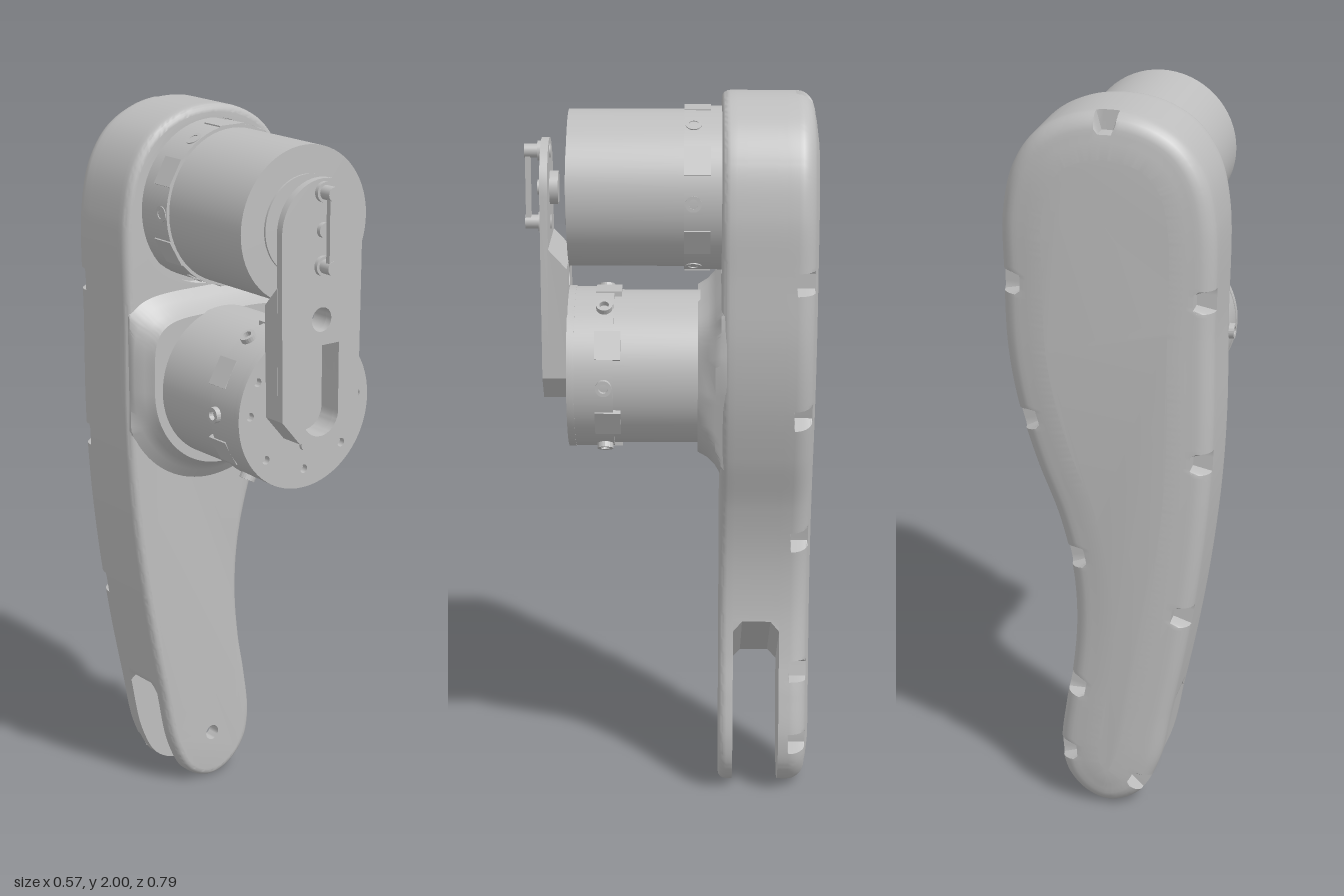
import * as THREE from 'three';
import { toCreasedNormals } from 'three/addons/utils/BufferGeometryUtils.js';

const V2 = (x, y) => new THREE.Vector2(x, y);
const circle = (x, y, r, n = 32, dir = 1) => Array.from({ length: n }, (_, i) => {
  const a = dir * i / n * Math.PI * 2;
  return V2(x + r * Math.cos(a), y + r * Math.sin(a));
});

// Skin between rings [{ z, pts }] running from back to front, capped at both ends, with round holes
function loft(rings, holes = []) {
  const pos = [];
  const put = (p, z) => pos.push(p.x, p.y, z);
  const skin = (list) => {
    for (let k = 0; k + 1 < list.length; k++) {
      const A = list[k], B = list[k + 1], n = A.pts.length;
      for (let i = 0; i < n; i++) {
        const j = (i + 1) % n;
        put(A.pts[i], A.z); put(A.pts[j], A.z); put(B.pts[j], B.z);
        put(A.pts[i], A.z); put(B.pts[j], B.z); put(B.pts[i], B.z);
      }
    }
  };
  const first = rings[0], last = rings[rings.length - 1];
  skin(rings);
  holes.forEach((h) => skin([{ z: first.z, pts: h }, { z: last.z, pts: h }]));
  [first, last].forEach((ring, end) => {
    const all = [ring.pts, ...holes].flat();
    for (const f of THREE.ShapeUtils.triangulateShape(ring.pts, holes)) {
      for (const i of end ? f : [f[0], f[2], f[1]]) put(all[i], ring.z);
    }
  });
  const g = new THREE.BufferGeometry();
  g.setAttribute('position', new THREE.Float32BufferAttribute(pos, 3));
  return toCreasedNormals(g, 0.6);
}

export function createModel() {
  const model = new THREE.Group();
  const gray = new THREE.MeshStandardMaterial({ color: 0xbebebe });
  gray.name = 'lightGray';
  const add = (name, geo, parent = model) => {
    const m = new THREE.Mesh(geo, gray);
    m.name = name;
    parent.add(m);
    return m;
  };
  const cyl = (name, r, z0, z1, x, y, n = 64) =>
    add(name, new THREE.CylinderGeometry(r, r, z1 - z0, n).rotateX(Math.PI / 2).translate(x, y, (z0 + z1) / 2));

  // Leg outline, counter-clockwise from the foot
  const outline = new THREE.CatmullRomCurve3([
    [0, 0], [0.07, 0.022], [0.125, 0.085], [0.142, 0.17], [0.128, 0.3], [0.107, 0.42], [0.095, 0.57],
    [0.105, 0.72], [0.14, 0.87], [0.2, 1.03], [0.25, 1.2], [0.275, 1.36], [0.28, 1.55], [0.28, 1.72],
    [0.25, 1.85], [0.19, 1.935], [0.1, 1.985], [0, 2], [-0.1, 1.985], [-0.19, 1.935], [-0.25, 1.85],
    [-0.28, 1.72], [-0.28, 1.4], [-0.28, 1.15], [-0.27, 0.95], [-0.245, 0.72], [-0.21, 0.5],
    [-0.17, 0.3], [-0.133, 0.13], [-0.08, 0.035],
  ].map(([x, y]) => new THREE.Vector3(x, y, 0)), true).getSpacedPoints(440).slice(0, 440);
  const N = outline.length;
  const inward = outline.map((p, i) => {
    const t = outline[(i + 1) % N].clone().sub(outline[(i + N - 1) % N]).normalize();
    return V2(-t.y, t.x);
  });

  // Screw notches around the back edge
  const notches = [[0, 2], [0.28, 1.54], [0.238, 1.15], [0.113, 0.76], [0.115, 0.37], [0.142, 0.16],
    [-0.28, 1.515], [-0.277, 1.065], [-0.229, 0.61], [-0.105, 0.07]].map(([x, y]) => V2(x, y));
  const ring = (z, inset, notched) => ({
    z,
    pts: outline.map((p, i) => {
      const cut = notched && notches.some((c) => Math.hypot(p.x - c.x, p.y - c.y) < 0.026);
      const d = cut ? Math.max(inset, 0.052) : inset;
      return V2(p.x + inward[i].x * d, p.y + inward[i].y * d);
    }),
  });

  // Back shell with a rounded, slightly crowned back
  const backRings = [ring(-0.393, 0.115), ring(-0.387, 0.07, true)];
  for (let k = 0; k <= 6; k++) {
    const a = k / 6 * Math.PI / 2;
    backRings.push(ring(-0.335 - 0.048 * Math.cos(a), 0.052 * (1 - Math.sin(a)), true));
  }
  backRings.push(ring(-0.332, 0), ring(-0.305, 0));
  add('backShell', loft(backRings));
  notches.forEach((c) => {
    let i = 0;
    outline.forEach((p, k) => { if (p.distanceTo(c) < outline[i].distanceTo(c)) i = k; });
    cyl('shellScrew', 0.015, -0.35, -0.33, outline[i].x + inward[i].x * 0.026, outline[i].y + inward[i].y * 0.026, 16);
  });

  // Middle layer, cut off above the foot slot by a slanted, chamfered edge
  const mid = (z, drop) => ({
    z,
    pts: outline.map((p) => {
      const edge = 0.34 + (p.x + 0.15) * 0.72 - drop;
      if (p.y > edge) return V2(p.x, p.y);
      const x = Math.min(p.x, 0.1);
      return V2(x, 0.34 + (x + 0.15) * 0.72 - drop);
    }),
  });
  add('middleShell', loft([mid(-0.305, 0.03), mid(-0.28, 0), mid(-0.2, 0), mid(-0.175, 0.03)]));

  // Front shell with motor seat, pivot hole and small round opening
  const frontRings = [ring(-0.175, 0)];
  for (let k = 0; k <= 4; k++) {
    const a = k / 4 * Math.PI / 2;
    frontRings.push(ring(-0.157 + 0.022 * Math.sin(a), 0.02 * (1 - Math.cos(a))));
  }
  add('frontShell', loft(frontRings, [circle(0, 1.735, 0.229, 64, -1), circle(0, 0.14, 0.022, 24, -1),
    circle(0.185, 1.535, 0.032, 24, -1)]));

  // Raised seat blending from the front shell to the lower motor, squared off at the top
  const seat = (z, grow) => ({
    z,
    pts: circle(0, 0, 1, 128).map(({ x: c, y: s }) => {
      const r = 0.237 + grow, up = s > 0;
      const y = 1.24 + (up ? (0.2 + grow) * Math.pow(s, 0.4) : r * s);
      const x = r * Math.sign(c) * Math.pow(Math.abs(c), up ? 0.4 : 1);
      const right = Math.min(0.275, 0.245 + (y - 1.2) * 0.3);
      return V2(Math.max(-0.275, Math.min(right, x)), y);
    }),
  });
  add('motorSeat', loft([seat(-0.15, 0.075), seat(-0.135, 0.06), seat(-0.12, 0.035), seat(-0.1, 0.015),
    seat(-0.08, 0.004), seat(-0.073, 0)]));

  // Motors: barrels, collars, and radial bolts and pads around the collars
  const upperY = 1.74, lowerY = 1.24;
  cyl('upperMotorCollar', 0.22, -0.18, -0.035, 0, upperY);
  cyl('upperMotor', 0.211, -0.04, 0.275, 0, upperY);
  cyl('upperMotorCap', 0.135, 0.27, 0.281, 0, upperY);
  cyl('lowerMotor', 0.211, -0.08, 0.16, 0, lowerY);
  cyl('lowerMotorCollar', 0.22, 0.155, 0.262, 0, lowerY);
  const studs = (name, y, z, r) => {
    for (let k = 0; k < 6; k++) {
      const g = new THREE.Group();
      g.name = name;
      g.position.set(0, y, z);
      g.rotation.z = k * Math.PI / 3;
      const ringShape = new THREE.Shape(circle(0, 0, 0.022, 20));
      ringShape.holes.push(new THREE.Path(circle(0, 0, 0.013, 16)));
      add('boltRing', new THREE.ExtrudeGeometry(ringShape, { depth: 0.03, bevelEnabled: false })
        .rotateY(Math.PI / 2).translate(r - 0.03, 0, 0), g);
      const pad = add('collarPad', new THREE.BoxGeometry(0.02, 0.08, 0.07).translate(0.21, 0, -0.01), g);
      pad.rotation.z = Math.PI / 6;
      model.add(g);
    }
  };
  studs('upperCollarBolt', upperY, -0.06, 0.222);
  studs('lowerCollarBolt', lowerY, 0.18, 0.234);

  // Drilled output plate on the lower motor
  const drill = [[-0.158, 0.1], [0.158, 0.1], [-0.183, 0.01], [0.183, 0.01], [-0.13, -0.12], [0.13, -0.12],
    [0, -0.17]].map(([x, y]) => circle(x, lowerY + y, 0.012, 16, -1));
  const disc = circle(0, lowerY, 0.222, 64);
  add('outputPlate', loft([{ z: 0.26, pts: disc }, { z: 0.28, pts: disc }], drill));
  [[-0.11, 0.01], [0.11, 0.01], [0, -0.1]].forEach(([x, y]) => cyl('plateScrew', 0.016, 0.275, 0.29, x, lowerY + y, 20));

  // Bracket: a tall rounded arm over a thick foot, with a U-shaped window
  const half = (x, y, r, flip) => Array.from({ length: 25 }, (_, i) => {
    const a = Math.PI * (i / 24 + flip);
    return V2(x + r * Math.cos(a), y + r * Math.sin(a));
  });
  const foot = [V2(-0.13, 1.24), V2(-0.07, 1.17), V2(0.07, 1.17), V2(0.13, 1.24)];
  const arm = [...foot, ...half(0, 1.74, 0.135, 0)];
  const windowCut = [...half(0, 1.24, 0.06, 1), V2(0.06, 1.43), V2(-0.06, 1.43)].reverse();
  const eye = circle(0, 1.5, 0.033, 24, -1);
  add('bracketArm', loft([{ z: 0.328, pts: arm }, { z: 0.349, pts: arm }], [windowCut, eye]));
  const block = (z, top) => ({ z, pts: [...foot, V2(0.135, top), V2(-0.135, top)] });
  add('bracketFoot', loft([block(0.279, 1.545), block(0.33, 1.6)], [windowCut, eye]));

  // Pivot screw and pull handle at the top of the bracket
  cyl('pivotWasher', 0.045, 0.305, 0.33, 0, upperY, 32);
  cyl('pivotPin', 0.02, 0.305, 0.362, 0, upperY, 24);
  [1.645, 1.84].forEach((y) => {
    cyl('handlePost', 0.019, 0.325, 0.396, 0, y, 24);
    cyl('handleFoot', 0.027, 0.345, 0.36, 0, y, 24);
  });
  add('handleBar', new THREE.BoxGeometry(0.026, 0.195, 0.014).translate(0, 1.7425, 0.387));

  return model;
}
